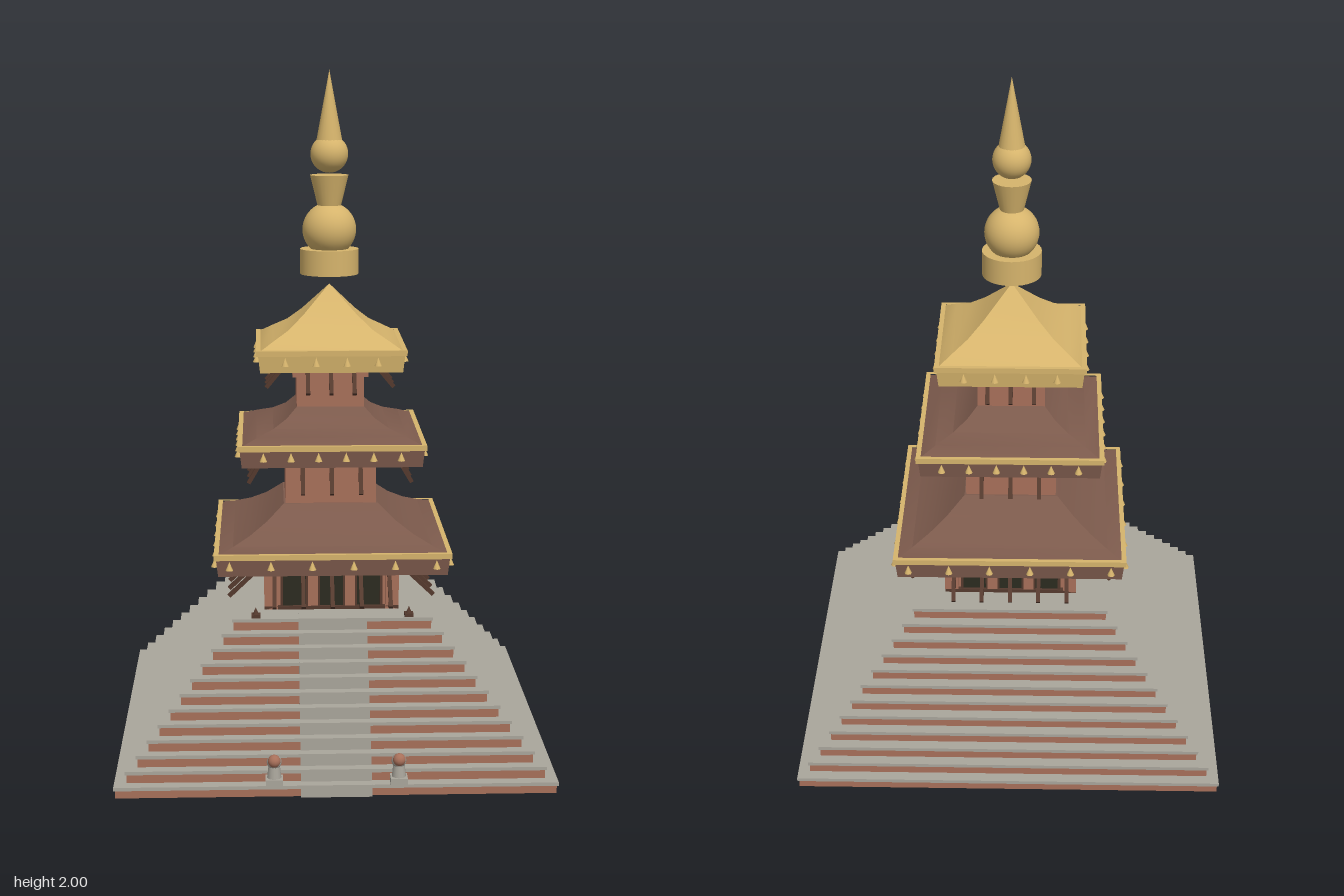
import * as THREE from 'three';
import { toCreasedNormals } from 'three/addons/utils/BufferGeometryUtils.js';

const mat = (name, color) => {
  const m = new THREE.MeshStandardMaterial({ color });
  m.name = name;
  return m;
};

export function createModel() {
  const brick = mat('brick', 0xa8705a);
  const stone = mat('stone', 0xaaa69c);
  const roofBrown = mat('roof tile', 0x7c5a4c);
  const gold = mat('gold', 0xd6b46c);
  const timber = mat('dark timber', 0x553a2e);
  const dark = mat('dark opening', 0x2c2b20);

  const model = new THREE.Group();
  model.name = 'pagoda';
  const tower = new THREE.Group();
  tower.name = 'tower';
  tower.position.z = -0.01;
  model.add(tower);

  const add = (parent, name, geo, material, x = 0, y = 0, z = 0) => {
    const m = new THREE.Mesh(geo, material);
    m.name = name;
    m.position.set(x, y, z);
    parent.add(m);
    return m;
  };
  // box given by its bottom height
  const box = (parent, name, material, w, h, d, x, y, z) =>
    add(parent, name, new THREE.BoxGeometry(w, h, d), material, x, y + h / 2, z);
  // square-plan solid from a profile of [half width, height]
  const square = (parent, name, material, profile) => {
    const pts = profile.map(([r, y]) => new THREE.Vector2(r * Math.SQRT2, y));
    const geo = toCreasedNormals(new THREE.LatheGeometry(pts, 4, Math.PI / 4), 0.5);
    return add(parent, name, geo, material);
  };
  // four sides, each built facing +z
  const fourSides = (name, build) => {
    for (let i = 0; i < 4; i++) {
      const side = new THREE.Group();
      side.name = name;
      side.rotation.y = i * Math.PI / 2;
      build(side);
      tower.add(side);
    }
  };

  // stepped base: brick risers under stone treads, with a stone stair in front
  const rise = 0.035;
  for (let i = 0; i < 12; i++) {
    const half = 0.625 - i * 0.03, y = i * rise, y0 = i ? y : 0.002;
    box(tower, 'riser', brick, half * 2 - 0.01, y + 0.025 - y0, half * 2 - 0.01, 0, y0, 0);
    box(tower, 'tread', stone, half * 2, 0.01, half * 2, 0, y + 0.025, 0);
    const depth = i ? 0.06 : 0.28;
    box(tower, 'stairStep', stone, 0.2, rise + 0.0005, depth, 0, y, half - depth / 2 + 0.001);
  }

  // ground storey with three doorways on every side
  box(tower, 'lowerWall', brick, 0.37, 0.15, 0.37, 0, 0.42, 0);
  square(tower, 'lowerCornice', timber, [[0.17, 0.545], [0.195, 0.545], [0.195, 0.565], [0.17, 0.565]]);
  fourSides('lowerFacade', (side) => {
    box(side, 'sill', timber, 0.4, 0.01, 0.02, 0, 0.42, 0.19);
    for (const x of [-0.11, 0, 0.11]) {
      box(side, 'doorway', dark, 0.07, 0.115, 0.006, x, 0.43, 0.187);
      for (const s of [-1, 1]) box(side, 'doorPost', timber, 0.008, 0.125, 0.014, x + s * 0.038, 0.42, 0.188);
    }
    for (const x of [-0.055, 0.055]) box(side, 'pier', brick, 0.03, 0.13, 0.016, x, 0.42, 0.189);
    box(side, 'cornerPier', brick, 0.04, 0.14, 0.04, 0.18, 0.42, 0.18);
  });

  // upper storeys
  box(tower, 'middleWall', brick, 0.27, 0.17, 0.27, 0, 0.71, 0);
  box(tower, 'middleCornice', brick, 0.29, 0.025, 0.29, 0, 0.845, 0);
  box(tower, 'upperWall', brick, 0.2, 0.15, 0.2, 0, 1.0, 0);
  box(tower, 'upperCornice', brick, 0.225, 0.035, 0.225, 0, 1.105, 0);

  // roofs: slope is the concave curve above the eave
  const roofs = [
    { half: 0.345, y: 0.56, material: roofBrown, bells: 6, gap: 0.12,
      slope: [[0.29, 0.637], [0.24, 0.658], [0.19, 0.688], [0.14, 0.73], [0, 0.73]],
      strut: [[0.2, 0.555], [0.305, 0.455]], strutX: [-0.17, -0.085, 0, 0.085, 0.17] },
    { half: 0.275, y: 0.865, material: roofBrown, bells: 6, gap: 0.08,
      slope: [[0.22, 0.945], [0.17, 0.962], [0.13, 0.985], [0.095, 1.02], [0, 1.02]],
      strut: [[0.195, 0.865], [0.245, 0.78]], strutX: [-0.085, 0, 0.085] },
    { half: 0.22, y: 1.135, material: gold, bells: 4, gap: 0.09,
      slope: [[0.17, 1.221], [0.125, 1.247], [0.08, 1.286], [0.04, 1.328], [0, 1.37]],
      strut: [[0.135, 1.135], [0.19, 1.068]], strutX: [-0.068, 0, 0.068] },
  ];
  const bellGeo = new THREE.ConeGeometry(0.011, 0.026, 8);
  for (const r of roofs) {
    const { half: h, y } = r;
    square(tower, 'roof', r.material,
      [[0, y], [h - 0.012, y], [h - 0.006, y + 0.055], [h - 0.012, y + 0.063], ...r.slope]);
    square(tower, 'eaveTrim', gold,
      [[h - 0.014, y + 0.05], [h, y + 0.05], [h, y + 0.066], [h - 0.014, y + 0.066]]);
    const [a, b] = r.strut;
    const len = Math.hypot(b[0] - a[0], b[1] - a[1]);
    fourSides('eaveSide', (side) => {
      for (let i = 0; i < r.bells; i++)
        add(side, 'bell', bellGeo, gold, (i - (r.bells - 1) / 2) * r.gap, y + 0.034, h - 0.002);
      for (const x of r.strutX) {
        const s = add(side, 'strut', new THREE.BoxGeometry(0.012, len, 0.012), timber,
          x, (a[1] + b[1]) / 2, (a[0] + b[0]) / 2);
        s.rotation.x = -Math.atan2(b[0] - a[0], a[1] - b[1]);
      }
    });
  }

  // finial
  const spire = new THREE.Group();
  spire.name = 'finial';
  tower.add(spire);
  add(spire, 'finialDrum', new THREE.CylinderGeometry(0.087, 0.087, 0.075, 32), gold, 0, 1.4375, 0);
  add(spire, 'lowerOrb', new THREE.SphereGeometry(0.08, 32, 20), gold, 0, 1.532, 0);
  add(spire, 'finialVase', new THREE.CylinderGeometry(0.057, 0.035, 0.09, 24), gold, 0, 1.648, 0);
  add(spire, 'upperOrb', new THREE.SphereGeometry(0.056, 28, 18), gold, 0, 1.755, 0);
  add(spire, 'spike', new THREE.ConeGeometry(0.038, 0.205, 20), gold, 0, 1.8975, 0);

  for (const s of [-1, 1]) {
    // guardian figures beside the stair
    const g = new THREE.Group();
    g.name = 'guardian';
    g.position.set(s * 0.175, 0.035, 0.61);
    tower.add(g);
    box(g, 'pedestal', stone, 0.048, 0.02, 0.045, 0, 0, 0.002);
    add(g, 'body', new THREE.CylinderGeometry(0.015, 0.02, 0.045, 12), stone, 0, 0.042, 0);
    add(g, 'mane', new THREE.SphereGeometry(0.021, 14, 10), stone, 0, 0.065, -0.001);
    add(g, 'head', new THREE.SphereGeometry(0.018, 14, 10), brick, 0, 0.073, 0.014);

    // small lamps on the terrace
    box(tower, 'lampBase', timber, 0.026, 0.01, 0.026, s * 0.225, 0.42, 0.275);
    add(tower, 'lampTop', new THREE.ConeGeometry(0.009, 0.02, 8), timber, s * 0.225, 0.44, 0.275);
  }
  return model;
}
